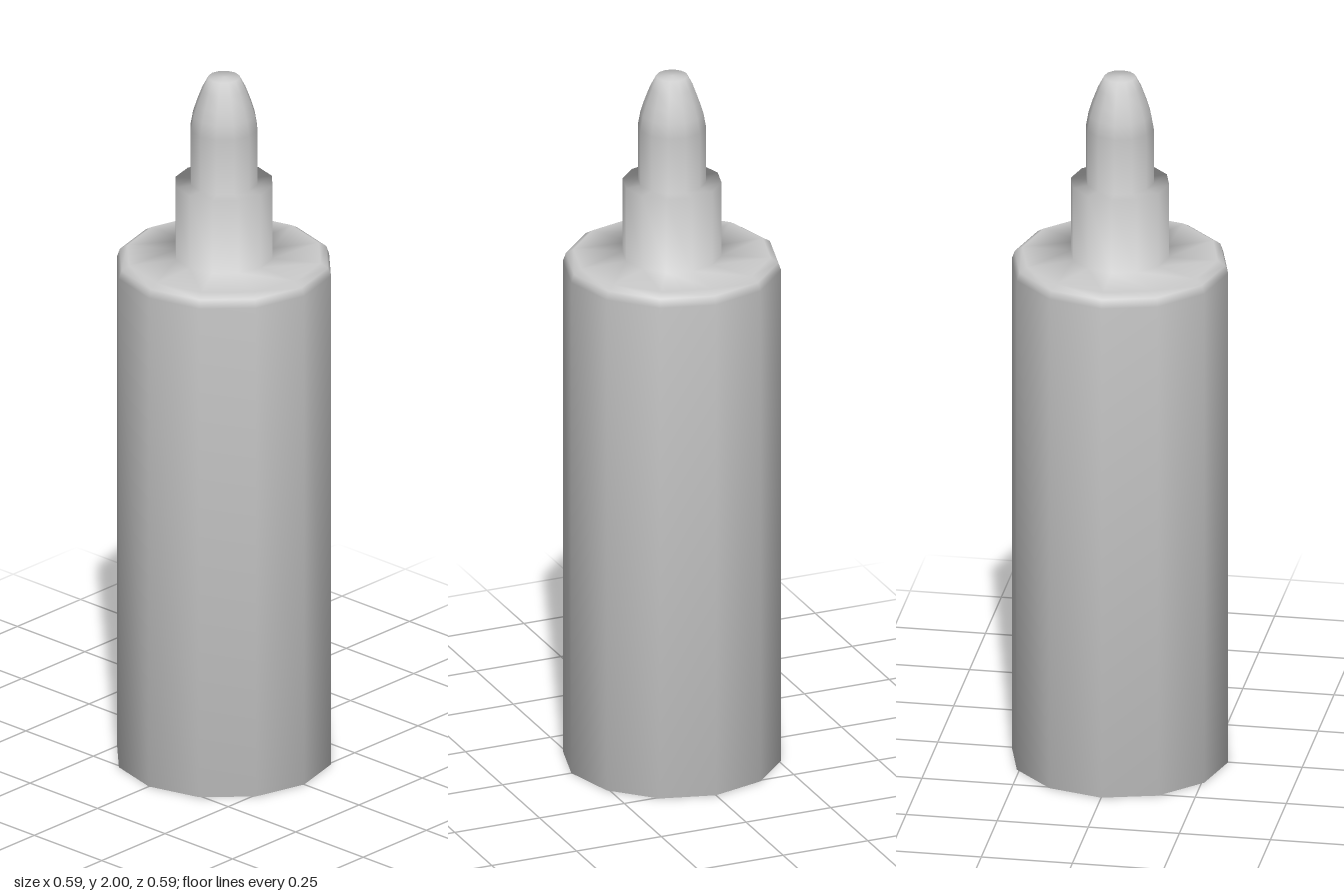
import * as THREE from 'three';

const SIDES = 12;

// One continuous silhouette, so shading stays smooth where the parts meet
const PROFILE = [
  [0, 0], [0.297, 0],                                      // base
  [0.297, 1.44], [0.289, 1.463], [0.268, 1.476],           // wall and rounded shoulder
  [0.135, 1.476], [0.135, 1.69],                           // collar
  [0.093, 1.69], [0.093, 1.85], [0.086, 1.89],             // nozzle
  [0.075, 1.925], [0.06, 1.965], [0.043, 1.998], [0, 2],   // rounded tip
].map(([r, y]) => new THREE.Vector2(r, y));

// Revolves the silhouette and keeps only the bands from one profile point to another
function turnedPart(name, from, to) {
  const geometry = new THREE.LatheGeometry(PROFILE, SIDES);
  const index = geometry.index.array;
  const bands = PROFILE.length - 1;
  const kept = [];
  for (let s = 0; s < SIDES; s++) {
    for (let b = from; b < to; b++) {
      const start = (s * bands + b) * 6;
      kept.push(...index.slice(start, start + 6));
    }
  }
  geometry.setIndex(kept);
  const mesh = new THREE.Mesh(geometry, new THREE.MeshStandardMaterial({ color: 0xcccccc }));
  mesh.name = name;
  return mesh;
}

export function createModel() {
  const group = new THREE.Group();
  group.name = 'bottle';
  group.add(
    turnedPart('body', 0, 5),
    turnedPart('collar', 5, 7),
    turnedPart('nozzle', 7, PROFILE.length - 1),
  );
  return group;
}
